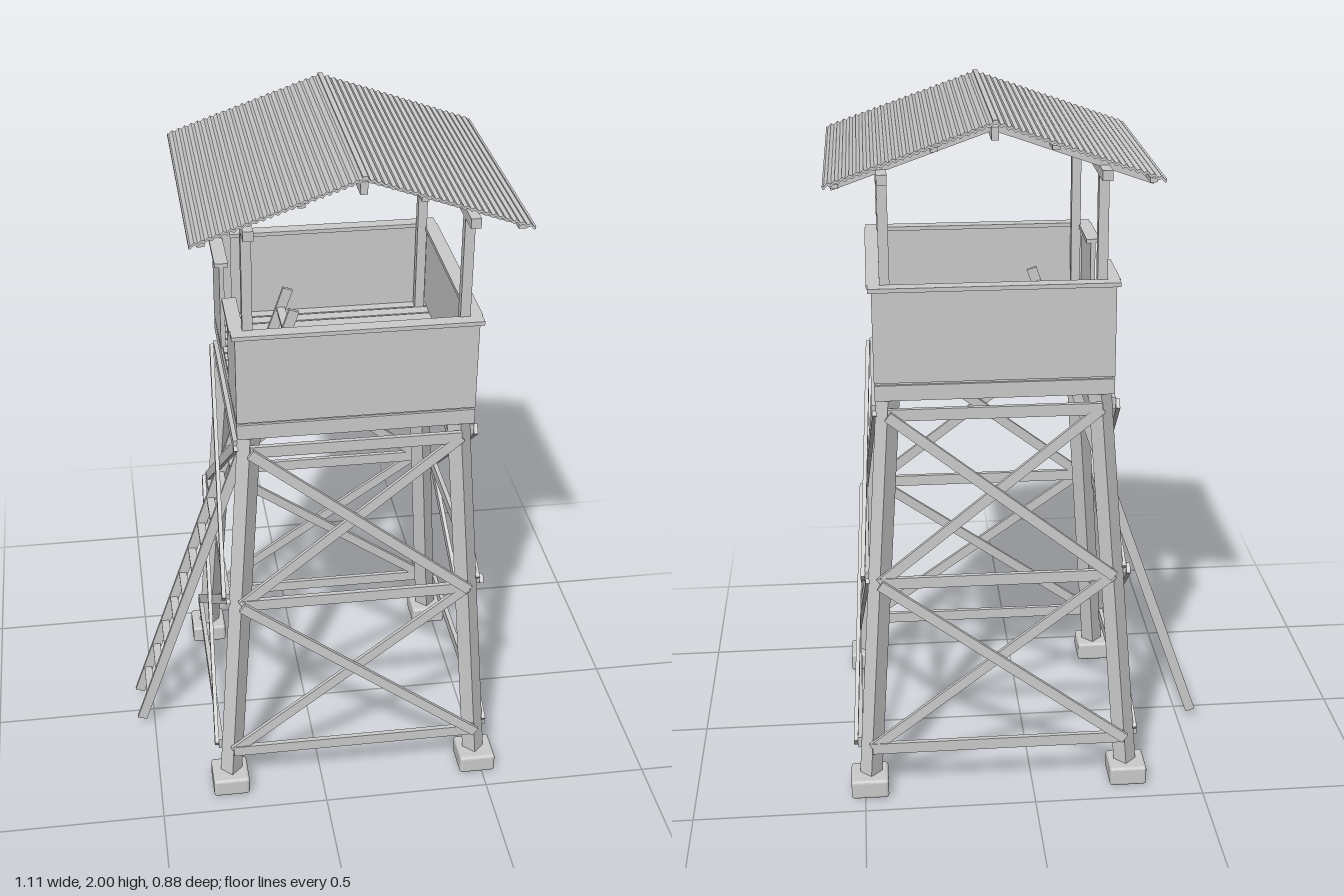
import * as THREE from 'three';
import { RoundedBoxGeometry } from 'three/addons/geometries/RoundedBoxGeometry.js';

const mat = new THREE.MeshStandardMaterial({ color: 0xcccccc, flatShading: true });
const sheetMat = new THREE.MeshStandardMaterial({ color: 0xcccccc, flatShading: true, side: THREE.DoubleSide });
const V = (x, y, z) => new THREE.Vector3(x, y, z);

function add(parent, name, geometry, x = 0, y = 0, z = 0, material = mat) {
  const m = new THREE.Mesh(geometry, material);
  m.name = name;
  m.position.set(x, y, z);
  parent.add(m);
  return m;
}

const box = (parent, name, w, h, d, x, y, z) =>
  add(parent, name, new THREE.BoxGeometry(w, h, d), x, y, z);

// Timber from a to b: "deep" lies across the side direction, "thick" along it
function beam(parent, name, a, b, deep, thick, side) {
  const dir = b.clone().sub(a);
  const len = dir.length();
  dir.normalize();
  const across = side.clone().cross(dir).normalize();
  const out = dir.clone().cross(across);
  const m = box(parent, name, len, deep, thick, 0, 0, 0);
  m.quaternion.setFromRotationMatrix(new THREE.Matrix4().makeBasis(dir, across, out));
  m.position.copy(a).add(b).multiplyScalar(0.5);
  return m;
}

// Distance of a leg from the tower axis at height y
const legAt = (y) => 0.385 - 0.088 * (y / 1.22);

function group(parent, name) {
  const g = new THREE.Group();
  g.name = name;
  parent.add(g);
  return g;
}

export function createModel() {
  const root = new THREE.Group();
  root.name = 'watchtower';
  const tower = group(root, 'tower');
  tower.position.x = 0.1;
  const X = V(1, 0, 0), Z = V(0, 0, 1);

  // Footings, leaning legs and roof posts at the four corners
  for (const sx of [-1, 1]) for (const sz of [-1, 1]) {
    add(tower, 'footing', new RoundedBoxGeometry(0.11, 0.06, 0.11, 2, 0.009), sx * 0.385, 0.03, sz * 0.385);
    const a = V(sx * legAt(0.04), 0.04, sz * legAt(0.04));
    const b = V(sx * legAt(1.22), 1.22, sz * legAt(1.22));
    const dir = b.clone().sub(a);
    const leg = add(tower, 'leg', new THREE.CylinderGeometry(0.033, 0.033, dir.length(), 4));
    leg.position.copy(a).add(b).multiplyScalar(0.5);
    leg.quaternion.setFromUnitVectors(V(0, 1, 0), dir.normalize());
    box(tower, 'roofPost', 0.028, 0.64, 0.028, sx * 0.298, 1.53, sz * 0.298);
  }

  // Cross bracing, one set per side
  const levels = [0.155, 0.675, 1.175];
  for (let i = 0; i < 4; i++) {
    const side = group(tower, 'bracing');
    side.rotation.y = i * Math.PI / 2;
    const at = (s, y, out) => V(s * legAt(y), y, legAt(y) + out);
    for (const y of levels)
      beam(side, 'horizontalBrace', at(-1, y, 0.036), at(1, y, 0.036), 0.034, 0.014, Z);
    for (let t = 0; t < 2; t++) {
      beam(side, 'diagonalBrace', at(-1, levels[t], 0.036), at(1, levels[t + 1], 0.036), 0.03, 0.012, Z);
      beam(side, 'diagonalBrace', at(1, levels[t], 0.049), at(-1, levels[t + 1], 0.049), 0.03, 0.012, Z);
    }
  }

  // Platform frame
  const deck = group(tower, 'platform');
  for (const s of [-1, 1]) {
    box(deck, 'rimBeam', 0.67, 0.045, 0.03, 0, 1.238, s * 0.32);
    box(deck, 'rimBeam', 0.03, 0.045, 0.61, s * 0.32, 1.238, 0);
  }
  for (const x of [-0.28, -0.05, 0.16]) {
    if (x === -0.05) for (const s of [-1, 1]) box(deck, 'joist', 0.025, 0.035, 0.2, x, 1.235, s * 0.205);
    else box(deck, 'joist', 0.025, 0.035, 0.61, x, 1.235, 0);
  }

  // Floor planks, cut away around the ladder hatch
  const planks = 15, pitch = 0.66 / planks;
  for (let i = 0; i < planks; i++) {
    const z = (i - (planks - 1) / 2) * pitch;
    const runs = Math.abs(z) < 0.1 ? [[-0.33, -0.27], [-0.06, 0.33]] : [[-0.33, 0.33]];
    for (const [x0, x1] of runs)
      box(deck, 'floorPlank', x1 - x0, 0.014, pitch - 0.006, (x0 + x1) / 2, 1.266, z);
  }

  // Parapet walls with cap rails; the ladder side has a gap
  const parapet = group(tower, 'parapet');
  const wallY = 1.4, wallH = 0.265, capY = 1.536;
  for (const s of [-1, 1]) {
    box(parapet, 'wall', 0.67, wallH, 0.014, 0, wallY, s * 0.328);
    box(parapet, 'capRail', 0.69, 0.012, 0.04, 0, capY, s * 0.328);
    box(parapet, 'entryWall', 0.014, wallH, 0.211, -0.328, wallY, s * 0.2155);
    box(parapet, 'entryCapRail', 0.04, 0.012, 0.2, -0.328, capY, s * 0.21);
  }
  box(parapet, 'wall', 0.014, wallH, 0.642, 0.328, wallY, 0);
  box(parapet, 'capRail', 0.04, 0.012, 0.616, 0.328, capY, 0);

  // Roof frame
  const roof = group(tower, 'roof');
  const slope = 0.352, apex = 1.992;
  box(roof, 'ridgeBeam', 0.02, 0.035, 0.76, 0, 1.962, 0);
  for (const s of [-1, 1]) {
    box(roof, 'topPlate', 0.028, 0.028, 0.75, s * 0.298, 1.844, 0);
    for (const z of [-0.298, 0, 0.298])
      beam(roof, 'rafter', V(0, apex - 0.022, z), V(s * 0.435, apex - 0.022 - slope * 0.435, z), 0.026, 0.024, Z);
    for (const x of [0.16, 0.42])
      box(roof, 'purlin', 0.02, 0.012, 0.76, s * x, apex - 0.013 - slope * x, 0);

    // Corrugated sheet: a wavy strip extruded along the ridge
    const shape = new THREE.Shape();
    const steps = 96, half = 0.452;
    const wave = (i) => 0.0035 * Math.sin(i * Math.PI / 2);
    const y = (i) => apex - slope * half * i / steps + wave(i);
    shape.moveTo(0, y(0) + 0.005);
    for (let i = 1; i <= steps; i++) shape.lineTo(s * half * i / steps, y(i) + 0.004);
    for (let i = steps; i >= 0; i--) shape.lineTo(s * half * i / steps, y(i) - 0.004);
    const sheet = new THREE.ExtrudeGeometry(shape, { depth: 0.79, bevelEnabled: false });
    add(roof, 'roofSheet', sheet, 0, 0, -0.395, sheetMat);
  }
  box(roof, 'ridgeCap', 0.014, 0.008, 0.79, 0, 1.996, 0);

  // Ladder leaning through the hatch
  const ladder = group(root, 'ladder');
  const foot = V(-0.54, 0.03, 0), top = V(-0.04, 1.47, 0);
  for (const s of [-1, 1])
    beam(ladder, 'ladderRail', foot.clone().setZ(s * 0.07), top.clone().setZ(s * 0.07), 0.03, 0.012, Z);
  for (let i = 0; i < 15; i++) {
    const p = foot.clone().lerp(top, (0.09 + i * 0.092) / 1.44);
    box(ladder, 'rung', 0.024, 0.012, 0.13, p.x, p.y, 0);
  }
  return root;
}
